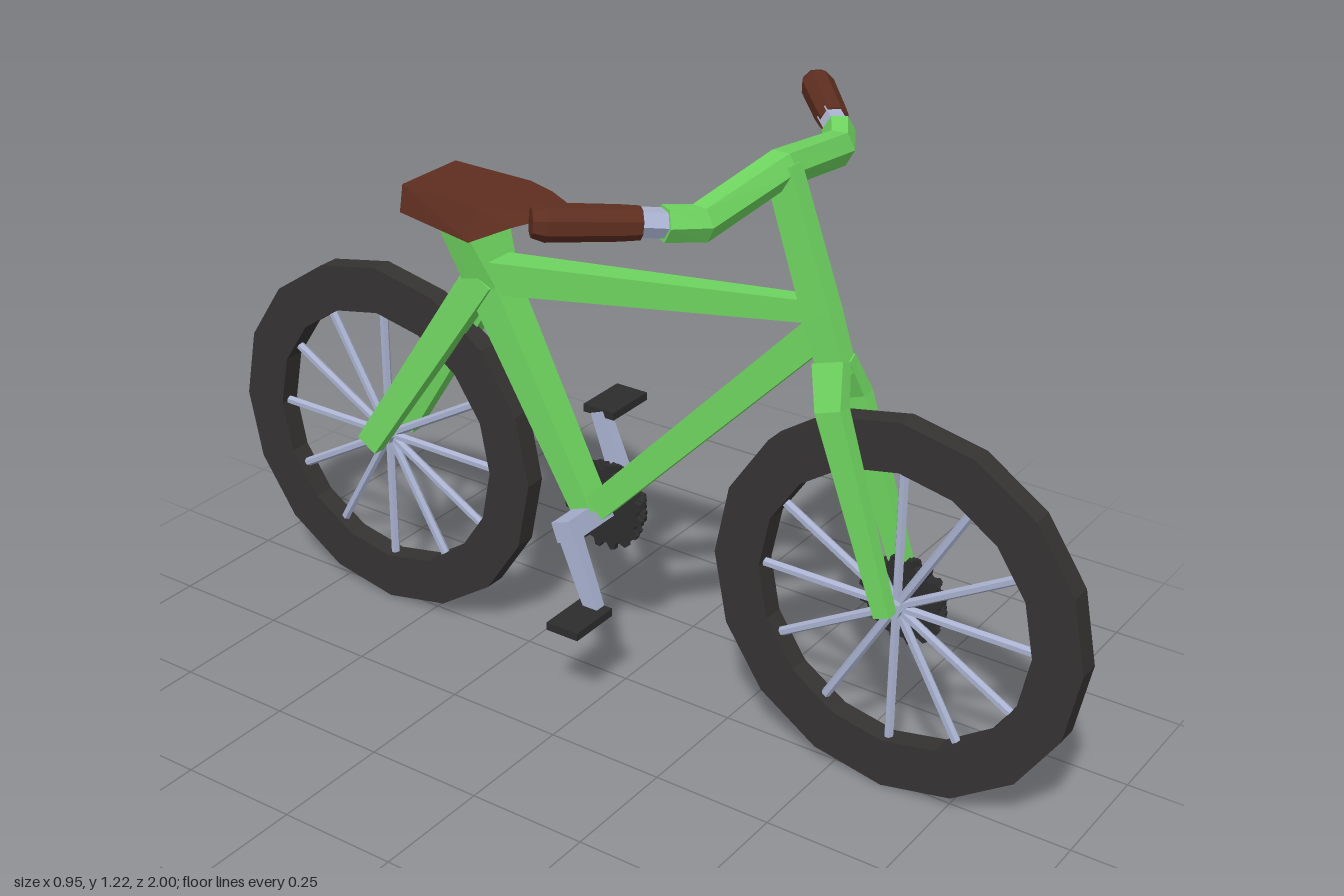
import * as THREE from 'three';

const mat = (color) => new THREE.MeshStandardMaterial({ color, flatShading: true });
const green = mat(0x6fd660), brown = mat(0x5e2e20), rubber = mat(0x353332);
const steel = mat(0xa9b2d0), dark = mat(0x2e2d2d);

function add(parent, name, geometry, material, x = 0, y = 0, z = 0) {
  const mesh = new THREE.Mesh(geometry, material);
  mesh.name = name;
  mesh.position.set(x, y, z);
  parent.add(mesh);
  return mesh;
}

// Skin a row of equal-sized rings and close both ends.
function loft(rings) {
  const n = rings[0].length, index = [];
  for (let r = 0; r < rings.length - 1; r++) {
    for (let i = 0; i < n; i++) {
      const a = r * n + i, b = r * n + (i + 1) % n;
      index.push(a, b, b + n, a, b + n, a + n);
    }
  }
  const last = (rings.length - 1) * n;
  for (let i = 1; i < n - 1; i++) {
    index.push(0, i + 1, i, last, last + i, last + i + 1);
  }
  const g = new THREE.BufferGeometry().setFromPoints(rings.flat());
  g.setIndex(index);
  const flat = g.toNonIndexed();
  flat.computeVertexNormals();
  return flat;
}

// Tube with flat sides; each stop is [x, y, z, half width along ref, half depth].
function tube(stops, sides = 4, ref = [1, 0, 0]) {
  const pts = stops.map((s) => new THREE.Vector3(s[0], s[1], s[2]));
  return loft(stops.map((s, k) => {
    const t = pts[Math.min(k + 1, pts.length - 1)].clone().sub(pts[Math.max(k - 1, 0)]).normalize();
    const u = new THREE.Vector3(...ref);
    u.addScaledVector(t, -u.dot(t)).normalize();
    const v = t.clone().cross(u);
    return Array.from({ length: sides }, (_, i) => {
      const a = (i + 0.5) * 2 * Math.PI / sides, k2 = 1 / Math.cos(Math.PI / sides);
      return pts[k].clone()
        .addScaledVector(u, s[3] * k2 * Math.cos(a))
        .addScaledVector(v, s[4] * k2 * Math.sin(a));
    });
  }));
}

// Toothed disc whose axis is x.
function sprocket(radius, thickness, teeth = 16) {
  const shape = new THREE.Shape();
  for (let i = 0; i < teeth; i++) {
    [[0, 0.86], [0.2, 1], [0.5, 1], [0.7, 0.86]].forEach(([f, k], j) => {
      const a = (i + f) * 2 * Math.PI / teeth;
      shape[i + j ? 'lineTo' : 'moveTo'](radius * k * Math.cos(a), radius * k * Math.sin(a));
    });
  }
  return new THREE.ExtrudeGeometry(shape, { depth: thickness, bevelEnabled: false })
    .translate(0, 0, -thickness / 2).rotateY(Math.PI / 2);
}

function sprocketStack(name, discs, y, z) {
  const g = new THREE.Group();
  g.name = name;
  g.position.set(0, y, z);
  for (const [x, r] of discs) add(g, 'sprocket', sprocket(r, 0.011), dark, x);
  const x0 = discs[0][0], x1 = discs[discs.length - 1][0];
  add(g, 'sprocketCore', new THREE.CylinderGeometry(0.045, 0.06, x1 - x0, 12).rotateZ(-Math.PI / 2), dark, (x0 + x1) / 2);
  return g;
}

function wheel(name, z) {
  const g = new THREE.Group();
  g.name = name;
  g.position.set(0, 0.387, z);
  const profile = [[0.287, -0.023], [0.387, -0.023], [0.387, 0.023], [0.287, 0.023], [0.287, -0.023]]
    .map((p) => new THREE.Vector2(...p));
  add(g, 'tyre', new THREE.LatheGeometry(profile, 16).rotateZ(Math.PI / 2), rubber);
  for (let i = 0; i < 12; i++) {
    const spoke = new THREE.CylinderGeometry(0.0095, 0.0095, 0.29, 6).translate(0, 0.145, 0).rotateX(i * Math.PI / 6);
    add(g, 'spoke', spoke, steel);
  }
  add(g, 'hub', new THREE.CylinderGeometry(0.018, 0.018, 0.04, 8).rotateZ(Math.PI / 2), steel);
  return g;
}

export function createModel() {
  const bike = new THREE.Group();
  bike.name = 'bicycle';
  bike.add(wheel('frontWheel', 0.613), wheel('rearWheel', -0.613));

  // Frame
  const frame = new THREE.Group();
  frame.name = 'frame';
  bike.add(frame);
  add(frame, 'steeringTube', tube([[0, 0.82, 0.467, 0.02, 0.03], [0, 0.93, 0.43, 0.022, 0.03], [0, 1.19, 0.338, 0.02, 0.028]]), green);
  add(frame, 'topTube', tube([[0, 0.937, 0.425, 0.018, 0.021], [0, 0.825, -0.34, 0.034, 0.034]]), green);
  add(frame, 'downTube', tube([[0, 0.91, 0.44, 0.02, 0.03], [0, 0.39, -0.06, 0.026, 0.027]]), green);
  add(frame, 'seatTube', tube([[0, 0.37, -0.085, 0.03, 0.025], [0, 0.8, -0.318, 0.038, 0.037],
    [0, 0.965, -0.378, 0.078, 0.028]]), green);
  for (const s of [1, -1]) {
    add(frame, 'forkLeg', tube([[s * 0.01, 0.845, 0.458, 0.013, 0.034], [s * 0.042, 0.77, 0.482, 0.016, 0.028],
      [s * 0.048, 0.39, 0.615, 0.014, 0.017]]), green);
    add(frame, 'seatStay', tube([[s * 0.025, 0.83, -0.325, 0.02, 0.034], [s * 0.062, 0.39, -0.613, 0.015, 0.026]]), green);
  }

  // Handlebar, collars and grips
  const bars = new THREE.Group();
  bars.name = 'handlebars';
  bike.add(bars);
  const half = [[0.23, 1.152, 0.317, 0.031, 0.028], [0.29, 1.163, 0.282, 0.029, 0.027]];
  const mirror = (p) => [-p[0], ...p.slice(1)];
  add(bars, 'handlebar', tube([mirror(half[1]), mirror(half[0]), [0, 1.185, 0.333, 0.031, 0.031], ...half], 6, [0, 1, 0]), green);
  for (const s of [1, -1]) {
    const at = (x, y, z, r) => [s * x, y, z, r, r];
    add(bars, 'collar', tube([at(0.28, 1.162, 0.29, 0.023), at(0.33, 1.17, 0.24, 0.023)], 6, [0, 1, 0]), steel);
    add(bars, 'grip', tube([at(0.318, 1.167, 0.255, 0.027), at(0.345, 1.17, 0.23, 0.029),
      at(0.44, 1.182, 0.145, 0.031), at(0.456, 1.184, 0.129, 0.024)], 8, [0, 1, 0]), brown);
  }

  // Saddle: [z, top half width, top y, rim half width, rim y, inner half width, inner y]
  const saddle = [
    [-0.163, 0.034, 1.0, 0.04, 0.988, 0.02, 0.988],
    [-0.215, 0.06, 1.002, 0.075, 0.97, 0.045, 0.98],
    [-0.29, 0.088, 1.0, 0.112, 0.935, 0.07, 0.962],
    [-0.475, 0.082, 1.005, 0.093, 0.95, 0.06, 0.952],
  ].map(([z, tw, ty, rw, ry, iw, iy]) =>
    [[-tw, ty], [tw, ty], [rw, ry], [iw, iy], [-iw, iy], [-rw, ry]].map(([x, y]) => new THREE.Vector3(x, y, z)));
  add(bike, 'saddle', loft(saddle), brown);

  // Sprockets, cranks and pedals
  bike.add(sprocketStack('frontSprockets', [[0.022, 0.09], [0.037, 0.084], [0.052, 0.075]], 0.39, 0.613));
  const cy = 0.363, cz = -0.082;
  bike.add(sprocketStack('crankSprockets', [[0.04, 0.096], [0.057, 0.091], [0.074, 0.08], [0.092, 0.066]], cy, cz));
  const cranks = new THREE.Group();
  cranks.name = 'cranks';
  bike.add(cranks);
  add(cranks, 'spindle', new THREE.BoxGeometry(0.234, 0.044, 0.044), steel, 0.017, cy, cz).rotation.x = -0.35;
  for (const [x, dir] of [[0.117, 1], [-0.081, -1]]) {
    const y = cy + dir * 0.165, z = cz - dir * 0.064;
    add(cranks, 'crankArm', tube([[x, cy, cz, 0.013, 0.022], [x, y, z, 0.013, 0.016]]), steel);
    add(cranks, 'pedal', new THREE.BoxGeometry(0.118, 0.017, 0.075), dark, x + dir * 0.047, y + 0.001, z + 0.004 * dir);
  }
  return bike;
}
